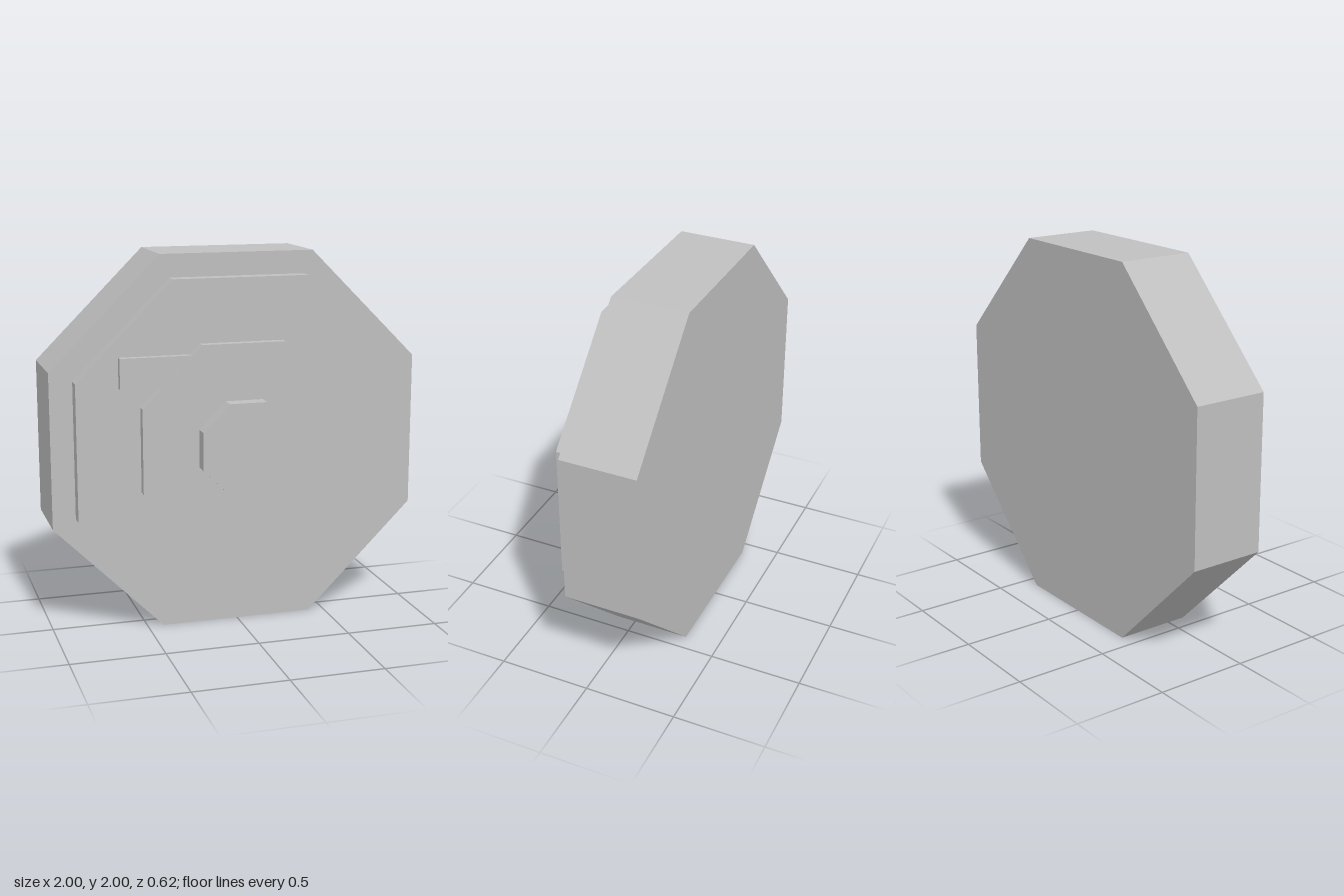
import * as THREE from 'three';

export function createModel() {
  const model = new THREE.Group();
  const grey = new THREE.MeshStandardMaterial({ color: 0xbfbfbf });
  grey.name = 'plain grey';

  // Octagonal slab with flat top and bottom edges, facing +z
  function addOctagon(name, halfWidth, back, front) {
    const radius = halfWidth / Math.cos(Math.PI / 8);
    let geometry = new THREE.CylinderGeometry(radius, radius, front - back, 8, 1, false, Math.PI / 8);
    geometry.rotateX(Math.PI / 2);
    geometry = geometry.toNonIndexed();
    geometry.computeVertexNormals(); // crisp facets
    const mesh = new THREE.Mesh(geometry, grey);
    mesh.name = name;
    mesh.position.set(0, 1, (back + front) / 2);
    model.add(mesh);
  }

  // Stacked tiers, from the thick body to the small centre knob
  addOctagon('body', 1, -0.31, 0.1);
  addOctagon('facePlate', 0.878, 0.1, 0.18);
  addOctagon('raisedDisc', 0.543, 0.18, 0.23);
  addOctagon('centreKnob', 0.243, 0.23, 0.31);

  // Short bar emerging from behind the raised disc
  const bar = new THREE.Mesh(new THREE.BoxGeometry(0.5, 0.16, 0.04), grey);
  bar.name = 'sideBar';
  bar.position.set(-0.405, 1.41, 0.198);
  model.add(bar);

  return model;
}
